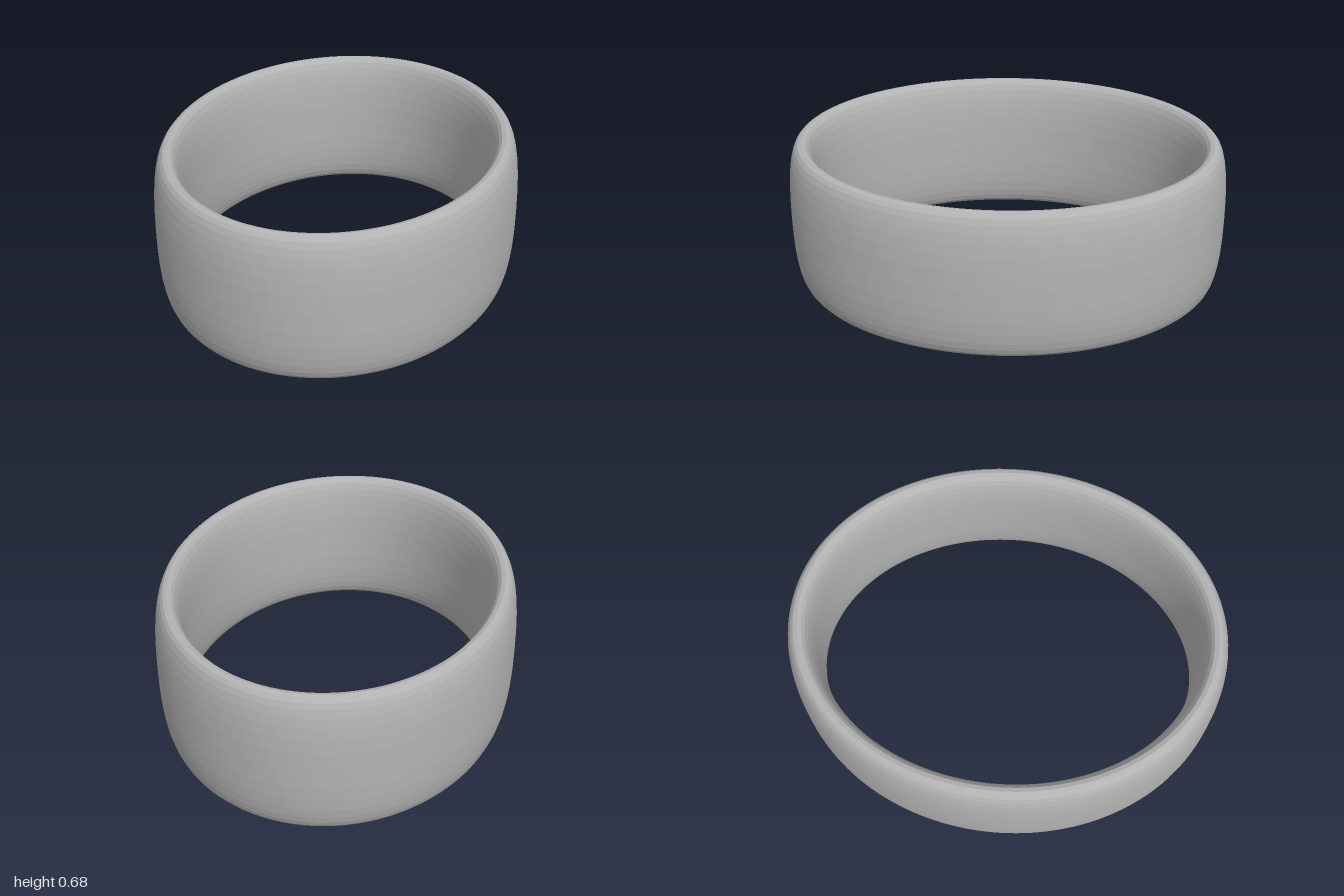
import * as THREE from 'three';

const AROUND = 160, SECTION = 32;
const HALF_X = 0.75, HALF_Z = 0.932;      // centre line of the band
const HALF_THICK = 0.068, HALF_HEIGHT = 0.34;

// Rounded superellipse coordinate
const soft = (v) => Math.sign(v) * Math.pow(Math.abs(v), 0.8);

// Sweep the rounded cross-section around an oval
function ovalBand() {
  const pos = [], idx = [];
  for (let i = 0; i < AROUND; i++) {
    const t = (i / AROUND) * Math.PI * 2;
    const c = Math.cos(t), s = Math.sin(t);
    const out = new THREE.Vector2(HALF_Z * c, HALF_X * s).normalize();
    for (let j = 0; j < SECTION; j++) {
      const a = (j / SECTION) * Math.PI * 2;
      const u = HALF_THICK * soft(Math.cos(a));
      pos.push(
        HALF_X * c + out.x * u,
        HALF_HEIGHT * (1 + soft(Math.sin(a))),
        HALF_Z * s + out.y * u
      );
      const i2 = (i + 1) % AROUND, j2 = (j + 1) % SECTION;
      const p = i * SECTION + j, q = i * SECTION + j2;
      const r = i2 * SECTION + j, w = i2 * SECTION + j2;
      idx.push(p, q, r, q, w, r);
    }
  }
  const g = new THREE.BufferGeometry();
  g.setAttribute('position', new THREE.Float32BufferAttribute(pos, 3));
  g.setIndex(idx);
  g.computeVertexNormals();
  return g;
}

export function createModel() {
  const group = new THREE.Group();
  group.name = 'ring';
  const material = new THREE.MeshStandardMaterial({ color: 0xb3b3b3, flatShading: true });
  material.name = 'plain grey';
  const band = new THREE.Mesh(ovalBand(), material);
  band.name = 'band';
  band.rotation.y = -0.076; // the oval sits slightly turned
  group.add(band);
  return group;
}
